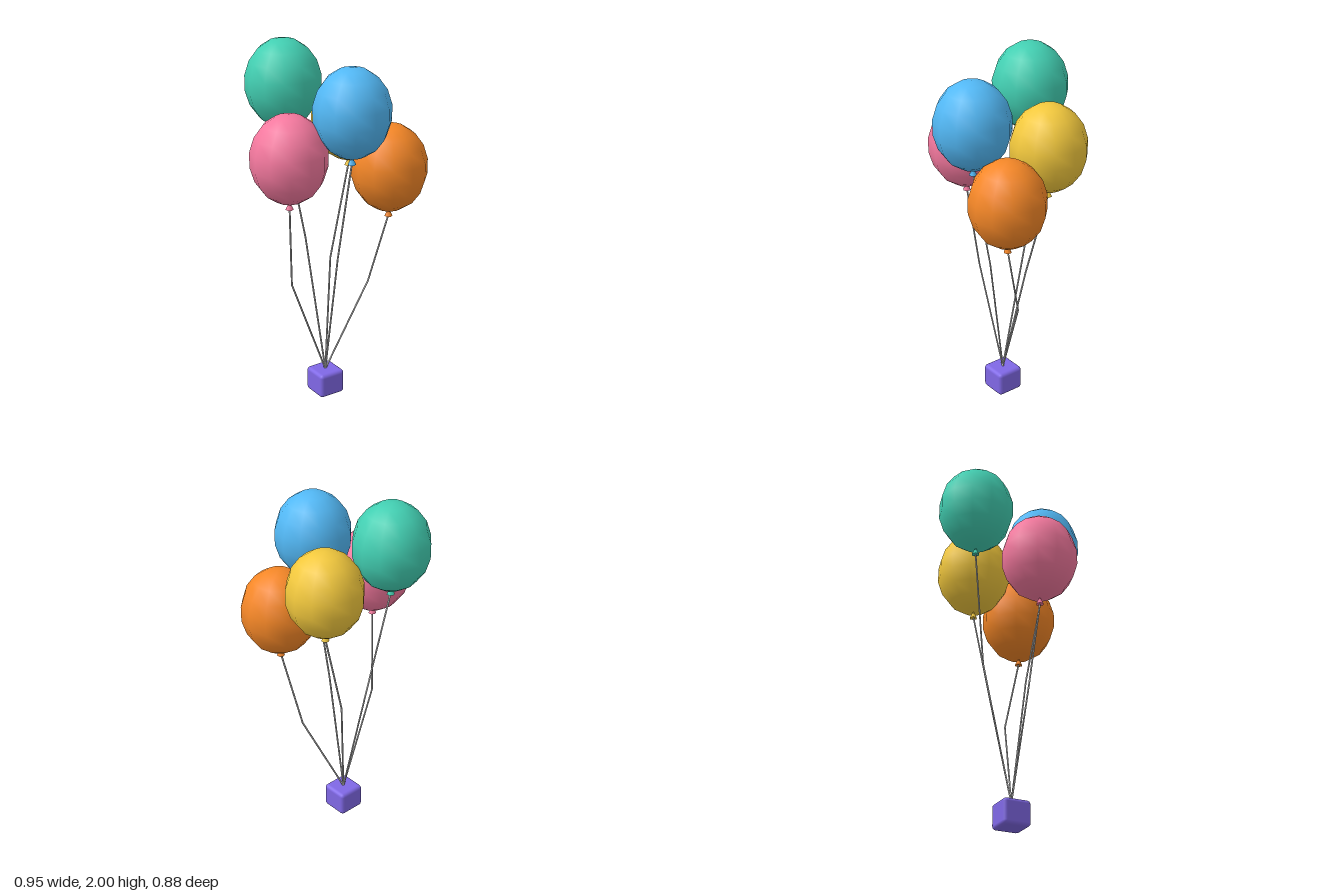
import * as THREE from 'three';
import { RoundedBoxGeometry } from 'three/addons/geometries/RoundedBoxGeometry.js';

const RADIUS = 0.207, HALF_HEIGHT = 0.241;
const ANCHOR = new THREE.Vector3(-0.013, 0.135, 0.024);

// centre of each balloon, and the x/z where its string bends
const BALLOONS = [
  { name: 'green', color: 0x42cfb2, at: [-0.107, 1.759, -0.235], bend: [-0.028, -0.148] },
  { name: 'blue', color: 0x52b8f5, at: [0.01, 1.69, 0.233], bend: [0.002, 0.12] },
  { name: 'pink', color: 0xf5799f, at: [-0.27, 1.45, 0.07], bend: [-0.229, 0.021] },
  { name: 'yellow', color: 0xf2c83d, at: [0.221, 1.55, -0.096], bend: [0.08, -0.064] },
  { name: 'orange', color: 0xf58727, at: [0.27, 1.34, 0.21], bend: [0.22, 0.1] },
];

const paint = (color) => new THREE.MeshStandardMaterial({ color });

function part(name, geometry, material) {
  const mesh = new THREE.Mesh(geometry, material);
  mesh.name = name;
  return mesh;
}

// straight thin rod between two points
function rod(name, a, b, material) {
  const mesh = part(name, new THREE.CylinderGeometry(0.005, 0.005, a.distanceTo(b), 6), material);
  mesh.position.copy(a).lerp(b, 0.5);
  mesh.quaternion.setFromUnitVectors(new THREE.Vector3(0, 1, 0), b.clone().sub(a).normalize());
  return mesh;
}

export function createModel() {
  const model = new THREE.Group();
  model.name = 'balloonBunch';

  // rounded weight on the ground
  const weight = part('weight', new RoundedBoxGeometry(0.156, 0.14, 0.156, 2, 0.02), paint(0x8068e6));
  weight.position.set(ANCHOR.x, 0.07, ANCHOR.z);
  model.add(weight);

  const stringMaterial = paint(0xcccccc);
  for (const { name, color, at, bend } of BALLOONS) {
    const material = paint(color);
    const balloon = new THREE.Group();
    balloon.name = name + 'Balloon';
    balloon.position.set(...at);

    // inflated body
    const body = new THREE.SphereGeometry(RADIUS, 12, 9);
    body.scale(1, HALF_HEIGHT / RADIUS, 1);
    balloon.add(part('body', body, material));

    // flared knot underneath
    const knot = part('knot', new THREE.ConeGeometry(0.022, 0.045, 6), material);
    knot.position.y = -HALF_HEIGHT - 0.014;
    balloon.add(knot);
    model.add(balloon);

    // string in two straight runs, bent just above halfway
    const end = new THREE.Vector3(at[0], at[1] - HALF_HEIGHT - 0.03, at[2]);
    const middle = new THREE.Vector3(bend[0], THREE.MathUtils.lerp(ANCHOR.y, end.y, 0.55), bend[1]);
    const string = new THREE.Group();
    string.name = name + 'String';
    string.add(rod('lowerString', ANCHOR, middle, stringMaterial));
    string.add(rod('upperString', middle, end, stringMaterial));
    model.add(string);
  }
  return model;
}
